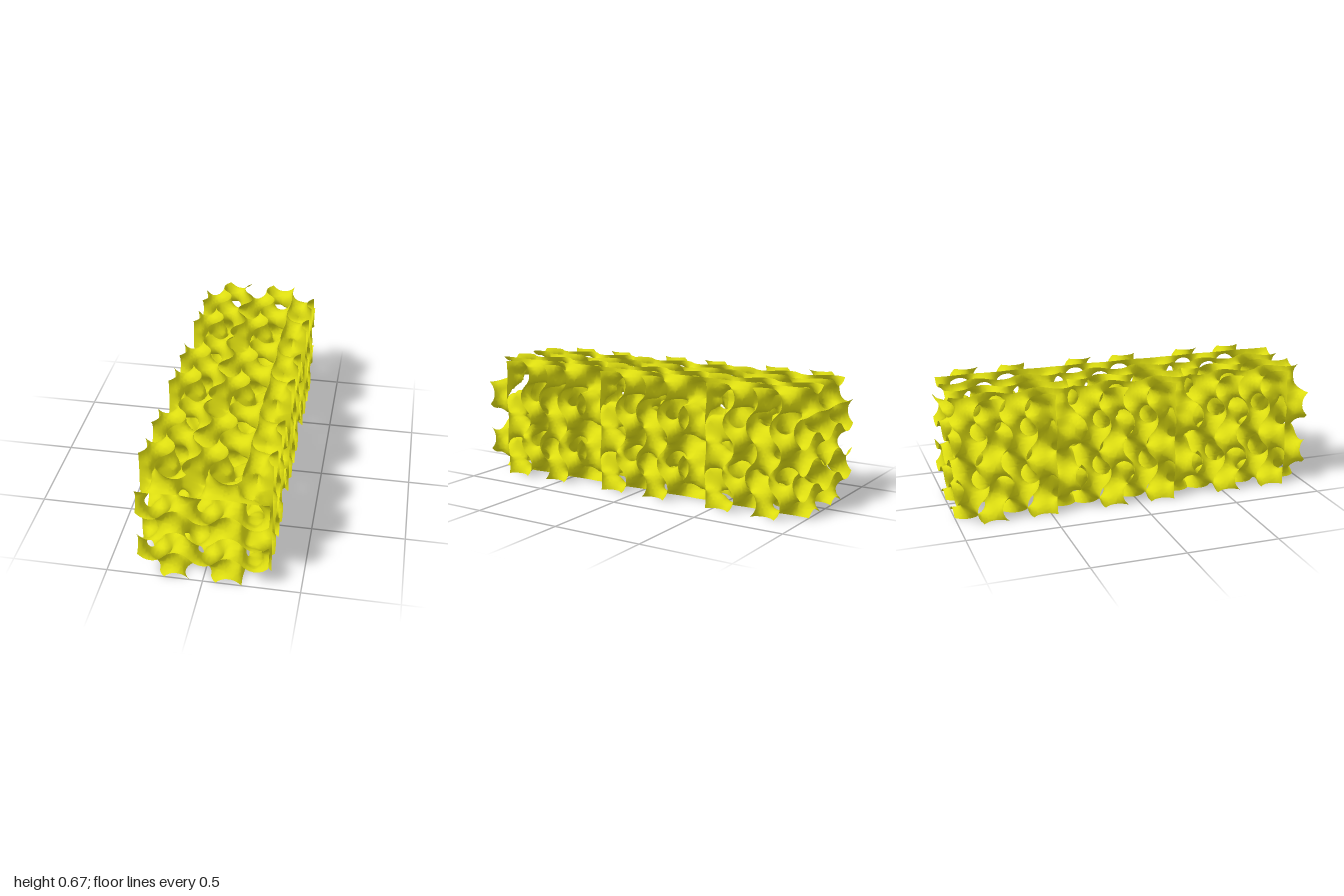
import * as THREE from 'three';

const HALF = 2 / 15;        // half a wave of the lattice
const WAVES = 5;            // half waves along each side of a block
const STEPS = 8;            // grid steps per half wave
const N = WAVES * STEPS;
const SIDE = WAVES * HALF;

// Wave pair, t in half waves; the cosine is flattened around t = 4 and reversed after it
const s = (t) => Math.sin(Math.PI * t);
function rawCos(t) {
  if (t < 3.5) return Math.cos(Math.PI * t);
  if (t < 4.5) return Math.min(0.13, Math.max(0, 0.5 * (t - 3.8)));
  return -Math.cos(Math.PI * t);
}
function c(t) {
  let sum = 0;
  for (let k = -2; k <= 2; k++) sum += rawCos(t + k * 0.07);
  return sum / 5 * 1.03;
}
const field = (x, y, z) => s(x) * c(y) + s(y) * c(z) + s(z) * c(x) + 0.0007;

// Pull a point onto the sheet; axes lying on a block face stay there
function project(p) {
  const e = 0.01;
  for (let pass = 0; pass < 2; pass++) {
    const v = field(...p);
    const g = p.map((q, a) => {
      if (q < 1e-6 || q > WAVES - 1e-6) return 0;
      const lo = [...p], hi = [...p];
      lo[a] -= e;
      hi[a] += e;
      return (field(...hi) - field(...lo)) / (2 * e);
    });
    const gg = g[0] * g[0] + g[1] * g[1] + g[2] * g[2];
    if (gg < 1e-3) return;
    const limit = 0.3 / STEPS;
    const k = Math.sign(v) * Math.min(Math.abs(v) / gg, limit / Math.sqrt(gg));
    for (let a = 0; a < 3; a++) p[a] = Math.min(WAVES, Math.max(0, p[a] - k * g[a]));
  }
}

// Zero sheet of the field as quads; the first and last grid layers are doubled
// so that the sheet ends exactly on the block faces
function sheetGeometry() {
  const M = N + 3;
  const at = (i) => Math.min(N, Math.max(0, i - 1)) / STEPS;
  const stride = [1, M, M * M];
  const values = new Float32Array(M * M * M);
  const cellVertex = new Int32Array(M * M * M).fill(-1);
  const S = [], C = [];
  for (let i = 0; i < M; i++) {
    S.push(s(at(i)));
    C.push(c(at(i)));
  }
  const each = (from, to, visit) => {
    for (let k = from; k < to; k++)
      for (let j = from; j < to; j++)
        for (let i = from; i < to; i++) visit([i, j, k], i + j * M + k * M * M);
  };
  each(0, M, ([i, j, k], id) => {
    values[id] = S[i] * C[j] + S[j] * C[k] + S[k] * C[i] + 0.0007;
  });

  // One vertex in every cell that the sheet crosses
  const positions = [];
  each(0, M - 1, (cell, id) => {
    const p = [0, 0, 0];
    let count = 0;
    for (let a = 0; a < 3; a++) {
      const b = (a + 1) % 3, d = (a + 2) % 3;
      for (let n = 0; n < 4; n++) {
        const u = n & 1, w = n >> 1;
        const start = id + u * stride[b] + w * stride[d];
        const v0 = values[start], v1 = values[start + stride[a]];
        if ((v0 > 0) === (v1 > 0)) continue;
        const t = v0 / (v0 - v1);
        p[a] += at(cell[a]) * (1 - t) + at(cell[a] + 1) * t;
        p[b] += at(cell[b] + u);
        p[d] += at(cell[d] + w);
        count++;
      }
    }
    if (!count) return;
    for (let a = 0; a < 3; a++) p[a] /= count;
    project(p);
    cellVertex[id] = positions.length / 3;
    positions.push(p[0] * HALF, p[1] * HALF, p[2] * HALF);
  });

  // One quad around every grid edge that the sheet crosses
  const index = [];
  each(1, M - 1, (node, id) => {
    for (let a = 0; a < 3; a++) {
      const inside = values[id] > 0;
      if (inside === (values[id + stride[a]] > 0)) continue;
      const b = stride[(a + 1) % 3], d = stride[(a + 2) % 3];
      const q = [id, id - b, id - b - d, id - d].map((n) => cellVertex[n]);
      if (!inside) q.reverse();
      index.push(q[0], q[1], q[2], q[0], q[2], q[3]);
    }
  });

  const geometry = new THREE.BufferGeometry();
  geometry.setAttribute('position', new THREE.Float32BufferAttribute(positions, 3));
  geometry.setIndex(index);
  geometry.computeVertexNormals();
  return geometry;
}

export function createModel() {
  const model = new THREE.Group();
  model.name = 'gyroidLattice';
  const material = new THREE.MeshStandardMaterial({ color: 0xdddd10, side: THREE.DoubleSide });
  const geometry = sheetGeometry();

  // Three equal blocks in a row from back to front
  for (let n = 0; n < 3; n++) {
    const block = new THREE.Mesh(geometry, material);
    block.name = 'latticeBlock' + (n + 1);
    block.position.set(-SIDE / 2, 0, -1 + n * SIDE);
    model.add(block);
  }
  return model;
}
